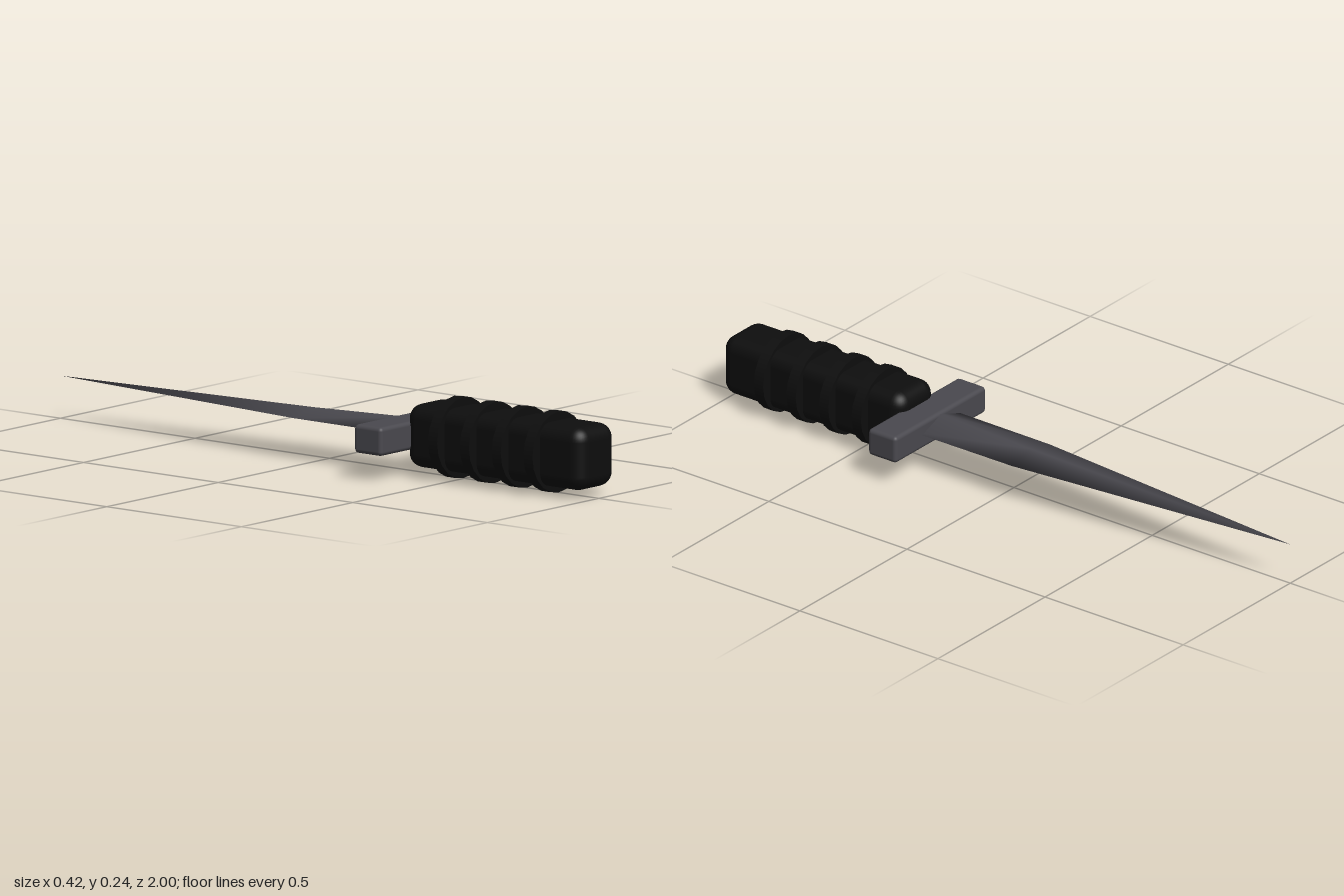
import * as THREE from 'three';
import { RoundedBoxGeometry } from 'three/addons/geometries/RoundedBoxGeometry.js';

const MID = 0.119; // height of the central axis

export function createModel() {
  const model = new THREE.Group();
  const steel = new THREE.MeshStandardMaterial({ color: 0x4a494f });
  steel.name = 'dark steel';
  const grip = new THREE.MeshStandardMaterial({ color: 0x0e0e0e });
  grip.name = 'black grip';

  const add = (name, geometry, material, y, z) => {
    const mesh = new THREE.Mesh(geometry, material);
    mesh.name = name;
    mesh.position.set(0, y, z);
    model.add(mesh);
    return mesh;
  };

  // Handle with four raised rings
  add('handle', new RoundedBoxGeometry(0.168, 0.184, 0.655, 4, 0.042), grip, MID, 0.6725);
  for (let i = 0; i < 4; i++) {
    const ring = new THREE.CylinderGeometry(0.118, 0.118, 0.034, 20).rotateX(Math.PI / 2);
    add('gripRing' + (i + 1), ring, grip, MID, 0.48 + i * 0.118);
  }

  // Crossguard
  add('crossguard', new RoundedBoxGeometry(0.424, 0.083, 0.102, 3, 0.012), steel, MID, 0.315);

  add('blade', bladeGeometry(), steel, 0, 0);
  return model;
}

// Blade: a diamond at the guard, a shoulder with a flat underside, then the tip
function bladeGeometry() {
  const edge = 0.123;
  const sections = [
    { z: 0.3, half: 0.09, top: 0.156, bottom: 0.088 },
    { z: -0.06, half: 0.088, top: 0.143, bottom: edge },
  ];
  const points = [];
  for (const s of sections) {
    points.push(s.half, edge, s.z, 0, s.top, s.z, -s.half, edge, s.z, 0, s.bottom, s.z);
  }
  points.push(0, 0.125, -1); // tip
  const faces = [0, 1, 2, 0, 2, 3];
  for (let i = 0; i < 4; i++) {
    const j = (i + 1) % 4;
    faces.push(i, 4 + i, 4 + j, i, 4 + j, j); // base to shoulder
    faces.push(4 + i, 8, 4 + j); // shoulder to tip
  }
  const geometry = new THREE.BufferGeometry();
  geometry.setAttribute('position', new THREE.Float32BufferAttribute(points, 3));
  geometry.setIndex(faces);
  geometry.computeVertexNormals();
  return geometry;
}
